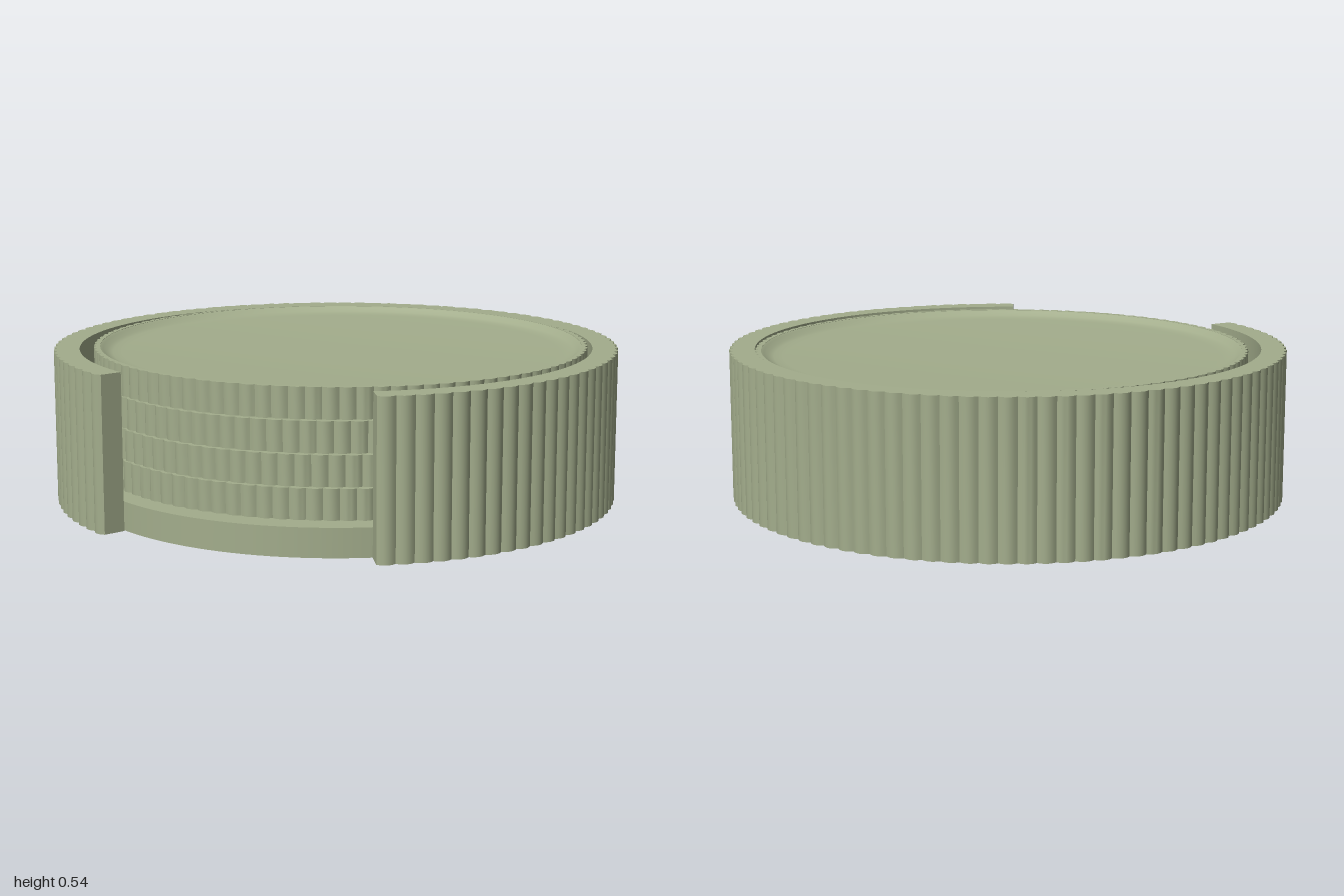
import * as THREE from 'three';
import { toCreasedNormals } from 'three/addons/utils/BufferGeometryUtils.js';

const H = 0.54, FLOOR = 0.1, INNER = 0.91, CZ = 0.05;
const OPENING = THREE.MathUtils.degToRad(29.2); // half angle of the front gap

// Outline point at angle t, measured from the front (+z) towards +x
const polar = (r, t) => new THREE.Vector2(r * Math.sin(t), -r * Math.cos(t));

// Rounded flutes along an arc, meeting in sharp grooves
function flutes(radius, depth, count, from, to, steps = 6) {
  const points = [];
  for (let i = 0; i <= count * steps; i++) {
    const u = (i % steps) / steps * 2 - 1;
    points.push(polar(radius - depth * u * u, from + (to - from) * i / (count * steps)));
  }
  return points;
}

// Stand a flat outline up on y = 0 with the given height
function extrudeUp(shape, height) {
  const geo = new THREE.ExtrudeGeometry(shape, { depth: height, bevelEnabled: false, curveSegments: 128 });
  geo.rotateX(-Math.PI / 2);
  return toCreasedNormals(geo, 0.6);
}

export function createModel() {
  const group = new THREE.Group();
  const material = new THREE.MeshStandardMaterial({ color: 0xa3ad8c });
  const add = (parent, geo, name) => {
    const mesh = new THREE.Mesh(geo, material);
    mesh.name = name;
    parent.add(mesh);
    return mesh;
  };

  // Holder: round floor and fluted wall, open at the front
  const holder = new THREE.Group();
  holder.name = 'holder';
  holder.position.z = CZ;
  group.add(holder);
  add(holder, new THREE.CylinderGeometry(INNER - 0.005, INNER - 0.005, FLOOR, 128).translate(0, FLOOR / 2, 0), 'holderFloor');

  const end = 2 * Math.PI - OPENING;
  const outline = flutes(1, 0.013, 84, OPENING, end);
  for (let i = 0; i <= 120; i++) outline.push(polar(INNER, end + (OPENING - end) * i / 120));
  add(holder, extrudeUp(new THREE.Shape(outline), H), 'holderWall');

  // Coasters: fluted rim around a shallow dished disc
  const pitch = (H - FLOOR) / 4, thick = pitch - 0.005;
  const rimShape = new THREE.Shape(flutes(0.882, 0.011, 100, 0, 2 * Math.PI).slice(0, -1));
  rimShape.holes.push(new THREE.Path().absarc(0, 0, 0.86, 0, 2 * Math.PI, true));
  const rimGeo = extrudeUp(rimShape, thick);
  const dish = [[0, 0], [0.862, 0], [0.862, thick], [0.85, thick - 0.006], [0.835, thick - 0.018],
    [0.815, thick - 0.023], [0.78, thick - 0.025], [0, thick - 0.025]].map(p => new THREE.Vector2(...p));
  const dishGeo = toCreasedNormals(new THREE.LatheGeometry(dish, 128), 0.6);

  for (let i = 0; i < 4; i++) {
    const coaster = new THREE.Group();
    coaster.name = 'coaster' + (i + 1);
    coaster.position.set(0, FLOOR + i * pitch + 0.005, 0.005);
    coaster.rotation.y = i * 0.02;
    add(coaster, rimGeo, 'coasterRim');
    add(coaster, dishGeo, 'coasterDish');
    group.add(coaster);
  }
  return group;
}
